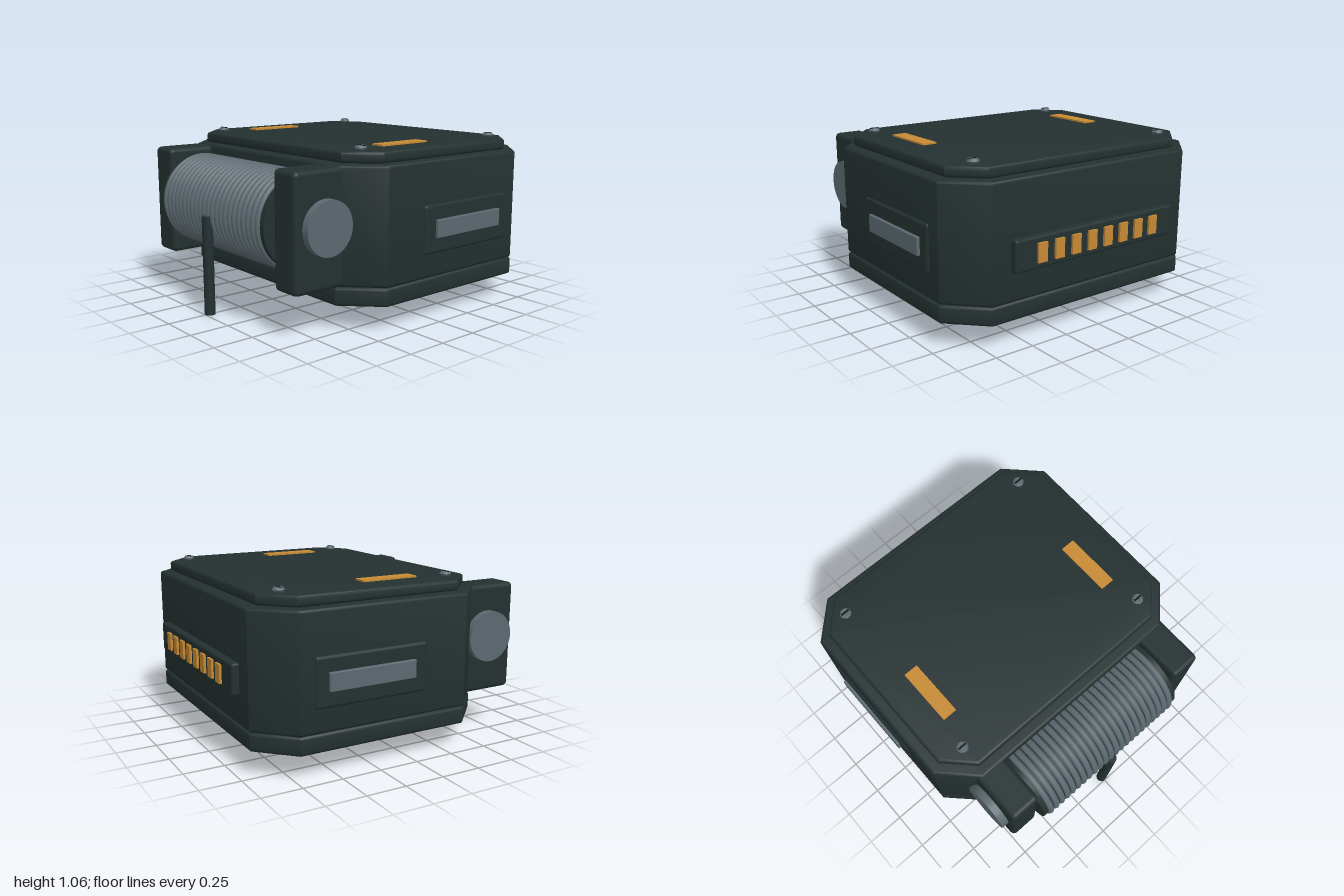
import * as THREE from 'three';
import { RoundedBoxGeometry } from 'three/addons/geometries/RoundedBoxGeometry.js';
import { toCreasedNormals } from 'three/addons/utils/BufferGeometryUtils.js';

export function createModel() {
  const model = new THREE.Group();
  model.name = 'winchUnit';
  const material = (name, color) => {
    const m = new THREE.MeshStandardMaterial({ color });
    m.name = name;
    return m;
  };
  const dark = material('darkCasing', 0x243030);
  const steel = material('steel', 0x5c6970);
  const brass = material('amber', 0xc68a34);
  const black = material('slotBlack', 0x101515);

  const add = (name, geometry, mat, x = 0, y = 0, z = 0, parent = model) => {
    const mesh = new THREE.Mesh(geometry, mat);
    mesh.name = name;
    mesh.position.set(x, y, z);
    parent.add(mesh);
    return mesh;
  };
  const rounded = (w, h, d, r) => new RoundedBoxGeometry(w, h, d, 2, r);
  const cylinderX = (r, len, n = 48) => new THREE.CylinderGeometry(r, r, len, n).rotateZ(Math.PI / 2);

  // Octagonal slab with softened edges, standing on y = y0
  const slab = (name, hx, z0, z1, cut, y0, y1, bevel) => {
    const s = new THREE.Shape([
      [-hx + cut, -z1], [hx - cut, -z1], [hx, -z1 + cut], [hx, -z0 - cut],
      [hx - cut, -z0], [-hx + cut, -z0], [-hx, -z0 - cut], [-hx, -z1 + cut],
    ].map(([x, y]) => new THREE.Vector2(x, y)));
    const g = new THREE.ExtrudeGeometry(s, {
      depth: y1 - y0 - 2 * bevel, bevelEnabled: true, bevelSize: bevel,
      bevelThickness: bevel, bevelOffset: -bevel, bevelSegments: 3,
    });
    g.translate(0, 0, bevel).rotateX(-Math.PI / 2);
    add(name, toCreasedNormals(g, 0.6), dark, 0, y0, 0);
  };
  slab('basePlate', 0.94, -0.94, 0.585, 0.21, 0.15, 0.262, 0.018);
  slab('body', 0.94, -0.94, 0.585, 0.21, 0.262, 0.962, 0.018);
  slab('lid', 0.875, -0.875, 0.522, 0.17, 0.962, 1.03, 0.018);

  // Drum wound with cable
  const drumY = 0.625, drumZ = 0.682;
  add('drumCore', cylinderX(0.275, 1.13, 64), dark, 0, drumY, drumZ);
  const coil = new THREE.TorusGeometry(0.272, 0.021, 8, 56).rotateY(Math.PI / 2);
  const coils = new THREE.Group();
  coils.name = 'cableCoils';
  model.add(coils);
  for (let i = 0; i < 23; i++) add('coil', coil, steel, (i - 11) * 0.0465, drumY, drumZ, coils);
  add('hangingCable', new THREE.CylinderGeometry(0.033, 0.033, 0.61, 20), dark, 0, 0.305, 0.967);

  for (const s of [-1, 1]) {
    // Drum supports and axle hubs
    add('drumSupport', rounded(0.2, 0.69, 0.37, 0.03), dark, s * 0.66, 0.61, 0.705);
    add('axleHub', cylinderX(0.16, 0.07), steel, s * 0.773, 0.63, drumZ);
    // Side panels
    add('sidePanel', rounded(0.05, 0.3, 0.73, 0.02), dark, s * 0.928, 0.555, -0.275);
    add('sideBar', rounded(0.05, 0.11, 0.565, 0.006), steel, s * 0.947, 0.557, -0.28);
    // Lid markers and slotted screws
    add('lidMarker', new THREE.BoxGeometry(0.094, 0.02, 0.37), brass, s * 0.643, 1.03, 0);
    for (const z of [-0.74, 0.382]) {
      const screw = new THREE.Group();
      screw.name = 'screw';
      screw.position.set(s * 0.713, 1.03, z);
      model.add(screw);
      add('screwHead', new THREE.CylinderGeometry(0.026, 0.036, 0.014, 20), steel, 0, 0.018, 0, screw);
      add('screwShank', new THREE.CylinderGeometry(0.036, 0.028, 0.012, 20), steel, 0, 0.005, 0, screw);
      add('screwSlot', new THREE.BoxGeometry(0.055, 0.008, 0.012), black, 0, 0.023, 0, screw);
    }
  }

  // Rear contact strip
  add('rearPanel', rounded(1.22, 0.19, 0.06, 0.015), dark, 0, 0.537, -0.955);
  for (let i = 0; i < 8; i++) {
    add('rearContact', new THREE.BoxGeometry(0.064, 0.115, 0.03), brass, (i - 3.5) * 0.123, 0.537, -0.985);
  }
  return model;
}
